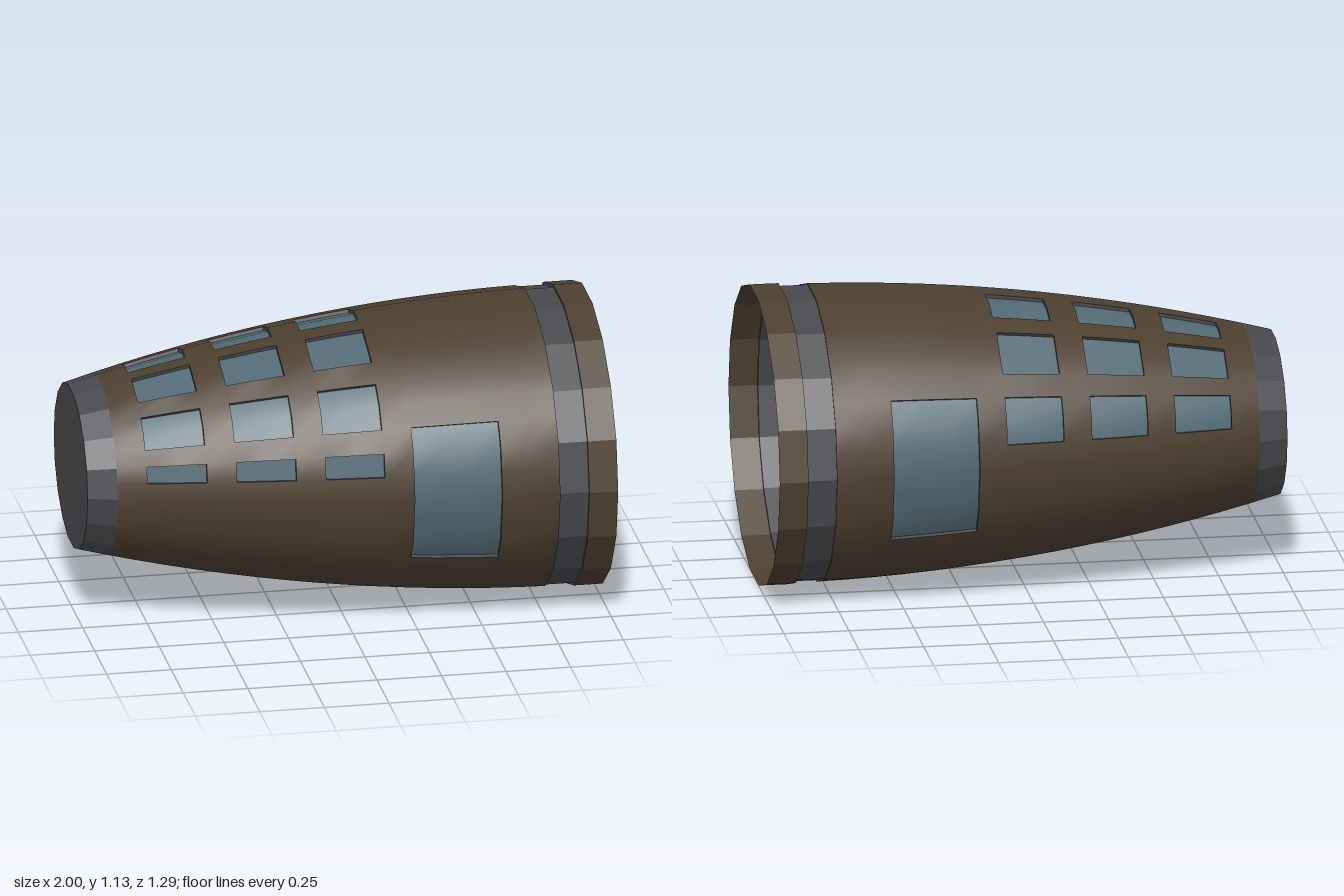
import * as THREE from 'three';
import { mergeGeometries } from 'three/addons/utils/BufferGeometryUtils.js';

const SIDES = 36, STEP = Math.PI * 2 / SIDES, CY = 0.565, WIDE = 1.124, DEPTH = 0.014;
const U = 1 / 9; // spacing of the lengthwise stations, -9..9

// Hull radius along the length
const radius = (x) => 0.57 - 0.0706 * (0.9 - x) ** 2;

// Point on the 18-sided elliptical section; a counts 10 degree steps from the top towards the front.
// Even steps fall in the middle of a flat.
function point(x, a, r) {
  const k = a % 2 === 0 ? r * Math.cos(STEP) : r;
  return new THREE.Vector3(x, CY + k * Math.cos(a * STEP), WIDE * k * Math.sin(a * STEP));
}

const range = (from, to) => Array.from({ length: to - from + 1 }, (_, i) => from + i);

// Surface over two lists of parameters; keep(i, j) can leave cells open
function surface(us, vs, at, { wrap = false, keep = () => true } = {}) {
  const pos = [], index = [], n = vs.length;
  us.forEach((u) => vs.forEach((v) => pos.push(...at(u, v).toArray())));
  for (let i = 0; i < us.length - 1; i++) {
    for (let j = 0; j < (wrap ? n : n - 1); j++) {
      if (!keep(us[i], vs[j])) continue;
      const k = (j + 1) % n, a = i * n + j, b = i * n + k, c = a + n, d = b + n;
      index.push(a, b, c, b, d, c);
    }
  }
  const g = new THREE.BufferGeometry();
  g.setAttribute('position', new THREE.Float32BufferAttribute(pos, 3));
  g.setIndex(index);
  g.computeVertexNormals();
  return g;
}

// Ring swept round the hull from a profile of [x, radius]
const ring = (profile) =>
  surface(profile, range(0, SIDES - 1), (p, a) => point(p[0], a, p[1]), { wrap: true });

export function createModel() {
  const group = new THREE.Group();
  const material = (color, flatShading = false) =>
    new THREE.MeshStandardMaterial({ color, flatShading, side: THREE.DoubleSide });
  const brown = material(0x4d4030), brownFlat = material(0x4d4030, true);
  const grey = material(0x49484d, true), glass = material(0x526a74);
  const add = (name, geometry, mat) => {
    const mesh = new THREE.Mesh(geometry, mat);
    mesh.name = name;
    group.add(mesh);
  };

  // Openings: [first station, last station, first angle step, last angle step]
  const openings = [[2, 5, 6, 12], [2, 5, -12, -6]];
  for (const [x0, x1] of [[-7, -5], [-4, -2], [-1, 1]]) {
    for (const [a0, a1] of [[-8, -6], [-5, -3], [-2, 0], [1, 3], [4, 6], [7, 8]]) {
      openings.push([x0, x1, a0, a1]);
    }
  }
  const solid = (i, a) =>
    !openings.some(([x0, x1, a0, a1]) => i >= x0 && i < x1 && a >= a0 && a < a1);

  // Tapered hull with the openings left out
  add('hull', surface(range(-8, 7), range(-18, 17),
    (i, a) => point(i * U, a, radius(i * U)), { wrap: true, keep: solid }), brown);

  // Inset panes and the reveals round them
  const panes = [], reveals = [];
  const inset = (i, a, d) => point(i * U, a, radius(i * U) - d);
  for (const [x0, x1, a0, a1] of openings) {
    const xs = range(x0, x1), as = range(a0, a1), ds = [0, DEPTH];
    panes.push(surface(xs, as, (i, a) => inset(i, a, DEPTH)));
    reveals.push(
      surface(ds, as, (d, a) => inset(x0, a, d)),
      surface([DEPTH, 0], as, (d, a) => inset(x1, a, d)),
      surface(xs, ds, (i, d) => inset(i, a0, d)),
      surface(xs, [DEPTH, 0], (i, d) => inset(i, a1, d)));
  }
  add('windowPanes', mergeGeometries(panes), glass);
  add('windowReveals', mergeGeometries(reveals), grey);

  // Small end: collar and closed bulkhead
  add('endCollar', ring([[-1, radius(-1)], [-8 * U, radius(-8 * U)]]), grey);
  add('bulkhead', ring([[-1, 0], [-1, radius(-1)]]), grey);

  // Large open end: recessed band and outer rim
  const band = 0.5635, rim = 0.574;
  add('recessedBand', ring([[7 * U, radius(7 * U)], [7 * U, band], [8 * U, band], [8 * U, rim]]), grey);
  add('openRim', ring([[8 * U, rim], [1, rim]]), brownFlat);

  return group;
}
